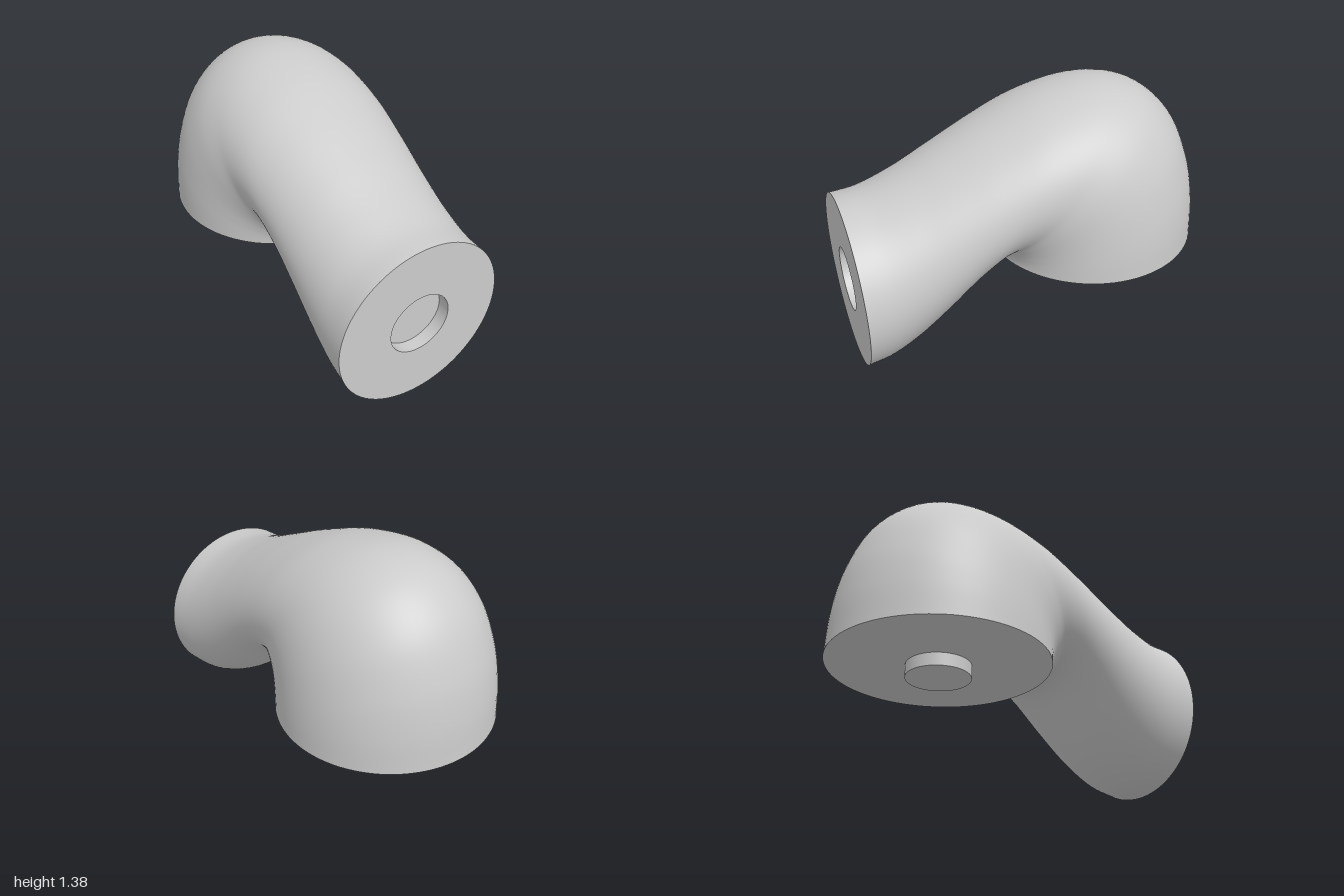
import * as THREE from 'three';

const material = new THREE.MeshStandardMaterial({ color: 0xcccccc });
const SEGMENTS = 96, RINGS = 80;

// Elliptical sections: [top z, top y, bottom z, bottom y, half width]
const sections = [
  [1, 0.94, 1, 0, 0.47],
  [0.85, 0.955, 0.87, 0.025, 0.463],
  [0.65, 1.025, 0.72, 0.105, 0.454],
  [0.45, 1.118, 0.56, 0.235, 0.449],
  [0.2, 1.232, 0.42, 0.38, 0.452],
  [-0.1, 1.34, 0.31, 0.485, 0.466],
  [-0.41, 1.38, 0.25, 0.518, 0.486],
  [-0.65, 1.32, 0.225, 0.518, 0.52],
  [-0.83, 1.16, 0.205, 0.51, 0.55],
  [-0.94, 0.92, 0.19, 0.497, 0.573],
  [-0.985, 0.7, 0.183, 0.485, 0.585],
  [-1, 0.47, 0.18, 0.47, 0.59],
];

// Loft the tilting sections from the round front to the round base
function loftBody() {
  const rail = (f) => new THREE.CatmullRomCurve3(sections.map(f));
  const top = rail((s) => new THREE.Vector3(0, s[1], s[0]));
  const bottom = rail((s) => new THREE.Vector3(0, s[3], s[2]));
  const width = rail((s, i) => new THREE.Vector3(s[4], i * 0.1, 0));
  const positions = [], index = [];
  for (let i = 0; i <= RINGS; i++) {
    const t = i / RINGS;
    const a = top.getPoint(t), b = bottom.getPoint(t), w = width.getPoint(t).x;
    for (let j = 0; j < SEGMENTS; j++) {
      const angle = (j / SEGMENTS) * Math.PI * 2;
      const p = b.clone().lerp(a, (1 + Math.cos(angle)) / 2);
      positions.push(w * Math.sin(angle), p.y, p.z);
      if (i === RINGS) continue;
      const k = (j + 1) % SEGMENTS, r = i * SEGMENTS, n = r + SEGMENTS;
      index.push(r + j, r + k, n + j, r + k, n + k, n + j);
    }
  }
  const geometry = new THREE.BufferGeometry();
  geometry.setAttribute('position', new THREE.Float32BufferAttribute(positions, 3));
  geometry.setIndex(index);
  geometry.computeVertexNormals();
  return geometry;
}

export function createModel() {
  const group = new THREE.Group();
  const add = (name, geometry, mat = material) => {
    const mesh = new THREE.Mesh(geometry, mat);
    mesh.name = name;
    group.add(mesh);
  };

  add('elbowBody', loftBody());

  // Front face with a shallow round socket
  const socketRadius = 0.173, depth = 0.07;
  add('frontFace', new THREE.RingGeometry(socketRadius, 0.47, SEGMENTS).translate(0, 0.47, 1));
  const inside = material.clone();
  inside.side = THREE.BackSide;
  add('socketWall', new THREE.CylinderGeometry(socketRadius, socketRadius, depth, SEGMENTS, 1, true)
    .rotateX(Math.PI / 2).translate(0, 0.47, 1 - depth / 2), inside);
  add('socketFloor', new THREE.CircleGeometry(socketRadius, SEGMENTS).translate(0, 0.47, 1 - depth));

  // Flat base with its locating peg
  add('baseFace', new THREE.CircleGeometry(0.59, SEGMENTS).rotateX(Math.PI / 2).translate(0, 0.47, -0.41));
  add('peg', new THREE.CylinderGeometry(0.173, 0.173, 0.07, SEGMENTS).translate(0, 0.435, -0.41));

  return group;
}
